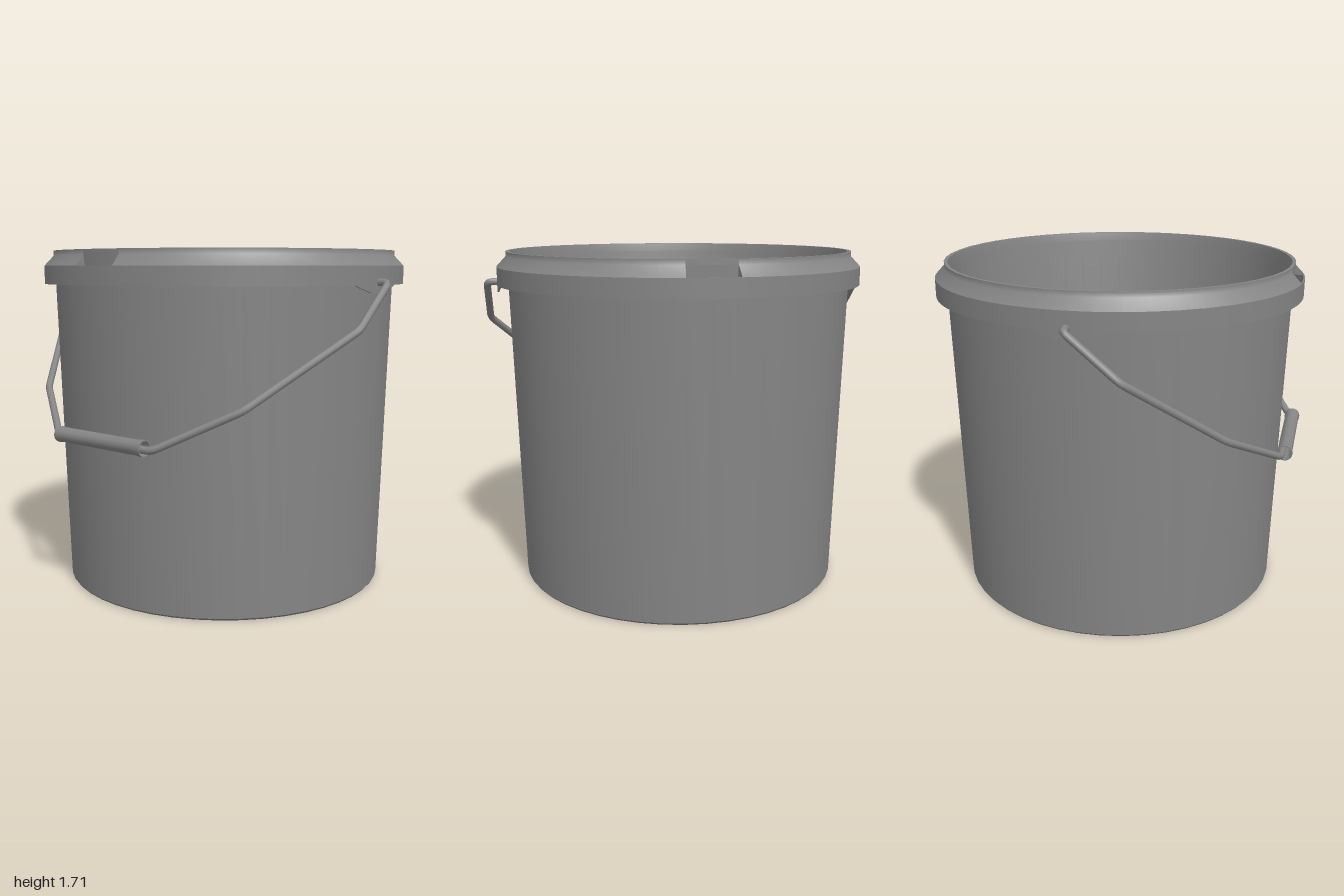
import * as THREE from 'three';
import { toCreasedNormals } from 'three/addons/utils/BufferGeometryUtils.js';

const V = (x, y, z) => new THREE.Vector3(x, y, z);
const SEGMENTS = 48;
const NOTCH = Math.PI / 24; // half angle of each rim notch

// Line path whose inner corners are rounded off
function roundedPath(points, radius) {
  const path = new THREE.CurvePath();
  let from = points[0];
  for (let i = 1; i < points.length - 1; i++) {
    const p = points[i];
    const a = p.clone().add(points[i - 1].clone().sub(p).setLength(radius));
    const b = p.clone().add(points[i + 1].clone().sub(p).setLength(radius));
    path.add(new THREE.LineCurve3(from, a));
    path.add(new THREE.QuadraticBezierCurve3(a, p, b));
    from = b;
  }
  path.add(new THREE.LineCurve3(from, points[points.length - 1]));
  return path;
}

// Smooth turned surface, and the same with sharp edges kept
function lathe(profile, segments = SEGMENTS, start = 0, length = Math.PI * 2) {
  const points = profile.map(([r, y]) => new THREE.Vector2(r, y));
  return new THREE.LatheGeometry(points, segments, start, length);
}
const creasedLathe = (profile, segments) => toCreasedNormals(lathe(profile, segments), 0.5);

export function createModel() {
  const model = new THREE.Group();
  const material = new THREE.MeshStandardMaterial({ color: 0x858585, side: THREE.DoubleSide });
  const add = (name, geometry, parent = model) => {
    const mesh = new THREE.Mesh(geometry, material);
    mesh.name = name;
    parent.add(mesh);
    return mesh;
  };

  // Tapered bucket with thick wall and floor, softly rounded underneath
  const bucket = new THREE.Group();
  bucket.name = 'bucket';
  bucket.position.z = -0.007;
  model.add(bucket);
  add('bucketBase', lathe([[0, 0], [0.72, 0], [0.824, 0], [0.832, 0.01]]), bucket);
  add('bucketWall', creasedLathe([
    [0.832, 0.01], [0.878, 1.68], [0.882, 1.68], [0.882, 1.705],
    [0.865, 1.705], [0.855, 1.66], [0.773, 0.03], [0, 0.03],
  ]), bucket);

  // Thin hanging skirt, dipping at the two handle ears
  const skirt = creasedLathe([
    [0.922, 1.54], [0.93, 1.54], [0.93, 1.63], [0.922, 1.63], [0.922, 1.54],
  ], SEGMENTS * 2);
  const pos = skirt.attributes.position;
  for (let i = 0; i < pos.count; i++) {
    if (pos.getY(i) < 1.58) {
      const dip = THREE.MathUtils.clamp((0.17 - Math.abs(pos.getZ(i))) / 0.09, 0, 1);
      pos.setY(i, 1.54 - 0.035 * dip);
    }
  }
  add('rimSkirt', skirt, bucket);

  // Sloping rim cover in two halves, open at the front and back notches
  for (const start of [0, Math.PI]) {
    add('rimSlope', lathe([[0.93, 1.63], [0.883, 1.68], [0.883, 1.705]], SEGMENTS / 2 - 2,
      start + NOTCH, Math.PI - 2 * NOTCH), bucket);
    // Small triangular walls closing the cover beside the notches
    for (const angle of [start + NOTCH, start - NOTCH]) {
      const corners = [[0.93, 1.63], [0.883, 1.68], [0.877, 1.63]]
        .map(([r, y]) => V(r * Math.sin(angle), y, r * Math.cos(angle)));
      const triangle = new THREE.BufferGeometry().setFromPoints(corners);
      triangle.computeVertexNormals();
      add('notchSide', triangle, bucket);
    }
  }

  // Bent wire handle lying in one plane, tilted down to the front
  const onPlane = (x, y) => V(x, y, -0.008 + (1.553 - y) * 1.203);
  const half = [[0.9, 1.553], [0.98, 1.553], [0.98, 1.345], [0.65, 1.0], [0.31, 0.815]];
  const wirePoints = [
    ...half.map(([x, y]) => onPlane(-x, y)),
    ...half.reverse().map(([x, y]) => onPlane(x, y)),
  ];
  add('handleWire', new THREE.TubeGeometry(roundedPath(wirePoints, 0.03), 200, 0.018, 10));
  for (const side of [-1, 1]) {
    const cap = add('wireEnd', new THREE.CircleGeometry(0.018, 10));
    cap.position.set(side * 0.9, 1.553, -0.008);
    cap.rotation.y = -side * Math.PI / 2;
  }

  // Hollow grip, slightly waisted, around the wire
  const grip = add('handleGrip', creasedLathe([
    [0.034, -0.285], [0.039, -0.285], [0.039, -0.265], [0.036, -0.24],
    [0.036, 0.24], [0.039, 0.265], [0.039, 0.285], [0.034, 0.285], [0.034, -0.285],
  ], 20));
  grip.rotation.z = Math.PI / 2;
  grip.position.set(0, 0.826, 0.895);

  return model;
}
